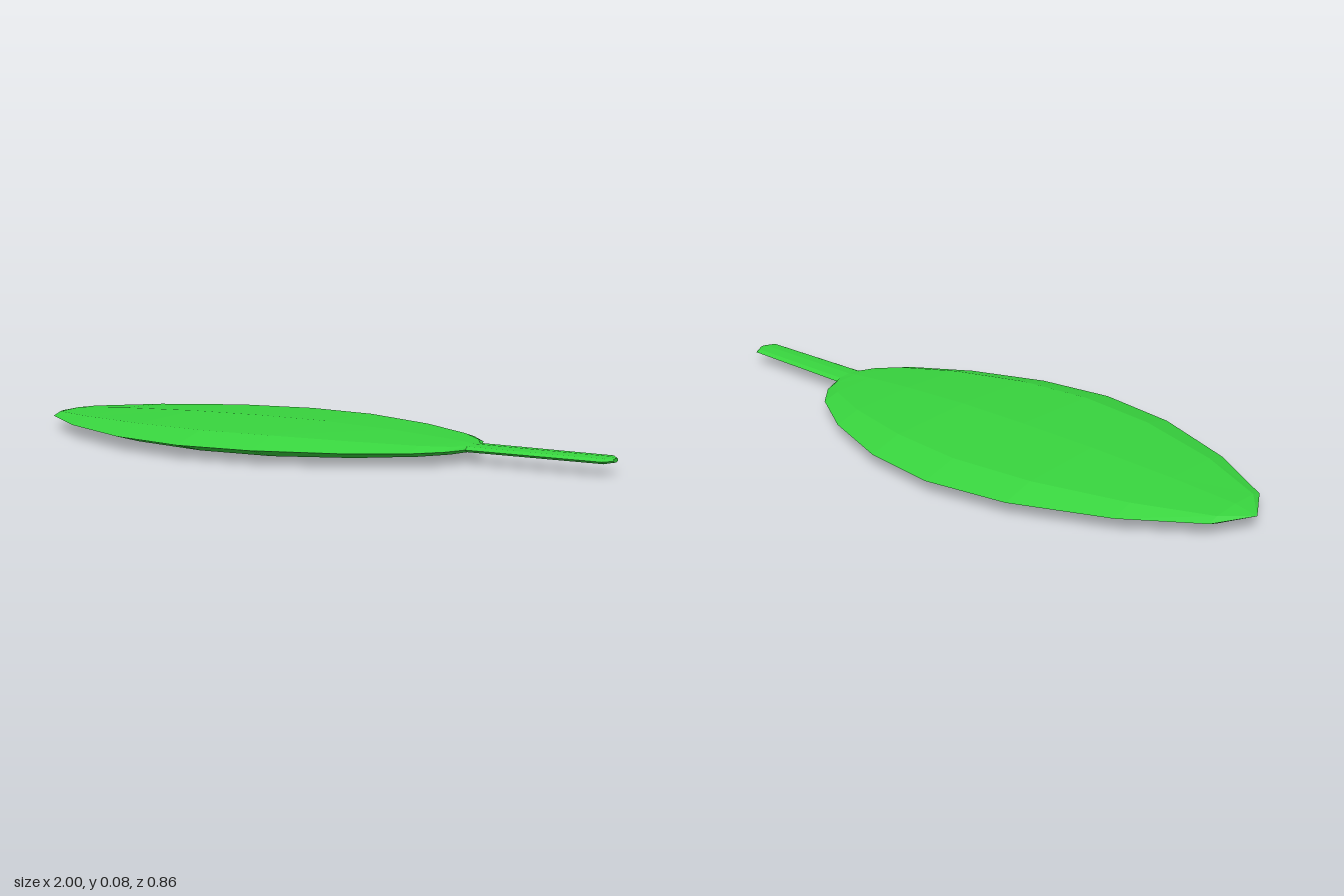
import * as THREE from 'three';

const MID = 0.0445; // height of the thin outer edge

// Flattened diamond section: edge, shoulder, ridge, shoulder, edge, then underside
const RING = [
  [1, 0], [0.725, 0.74], [0, 1], [-0.725, 0.74],
  [-1, 0], [-0.725, -0.74], [0, -1], [0.725, -0.74],
];

// Skins stations of [x, half width, half height]; zero width closes to a point
function loft(stations, material, name) {
  const pos = [];
  const point = (i, k) => {
    const [x, w, h] = stations[i];
    const [z, y] = RING[k % RING.length];
    return [x, MID + y * h, z * w];
  };
  for (let i = 0; i < stations.length - 1; i++) {
    for (let k = 0; k < RING.length; k++) {
      const a = point(i, k), b = point(i + 1, k);
      const c = point(i + 1, k + 1), d = point(i, k + 1);
      if (stations[i + 1][1] > 0) pos.push(...a, ...b, ...c);
      if (stations[i][1] > 0) pos.push(...a, ...c, ...d);
    }
  }
  const geometry = new THREE.BufferGeometry();
  geometry.setAttribute('position', new THREE.Float32BufferAttribute(pos, 3));
  geometry.computeVertexNormals(); // unshared corners give flat facets
  const mesh = new THREE.Mesh(geometry, material);
  mesh.name = name;
  return mesh;
}

export function createModel() {
  const group = new THREE.Group();
  group.name = 'leaf';
  const green = new THREE.MeshStandardMaterial({ color: 0x38d43e });
  green.name = 'leaf green';

  // Broad blade, pointed at -x and narrowing into the stem
  group.add(loft([
    [-1, 0, 0],
    [-0.93, 0.125, 0.015],
    [-0.72, 0.267, 0.028],
    [-0.44, 0.385, 0.038],
    [-0.18, 0.428, 0.0415],
    [0.06, 0.398, 0.041],
    [0.3, 0.31, 0.032],
    [0.47, 0.205, 0.021],
    [0.54, 0.125, 0.015],
    [0.57, 0.058, 0.011],
  ], green, 'leafBlade'));

  // Narrow flat stem with a blunt end
  group.add(loft([
    [0.57, 0.058, 0.011],
    [0.98, 0.05, 0.01],
    [1, 0.018, 0.006],
    [1, 0, 0],
  ], green, 'leafStem'));

  return group;
}
